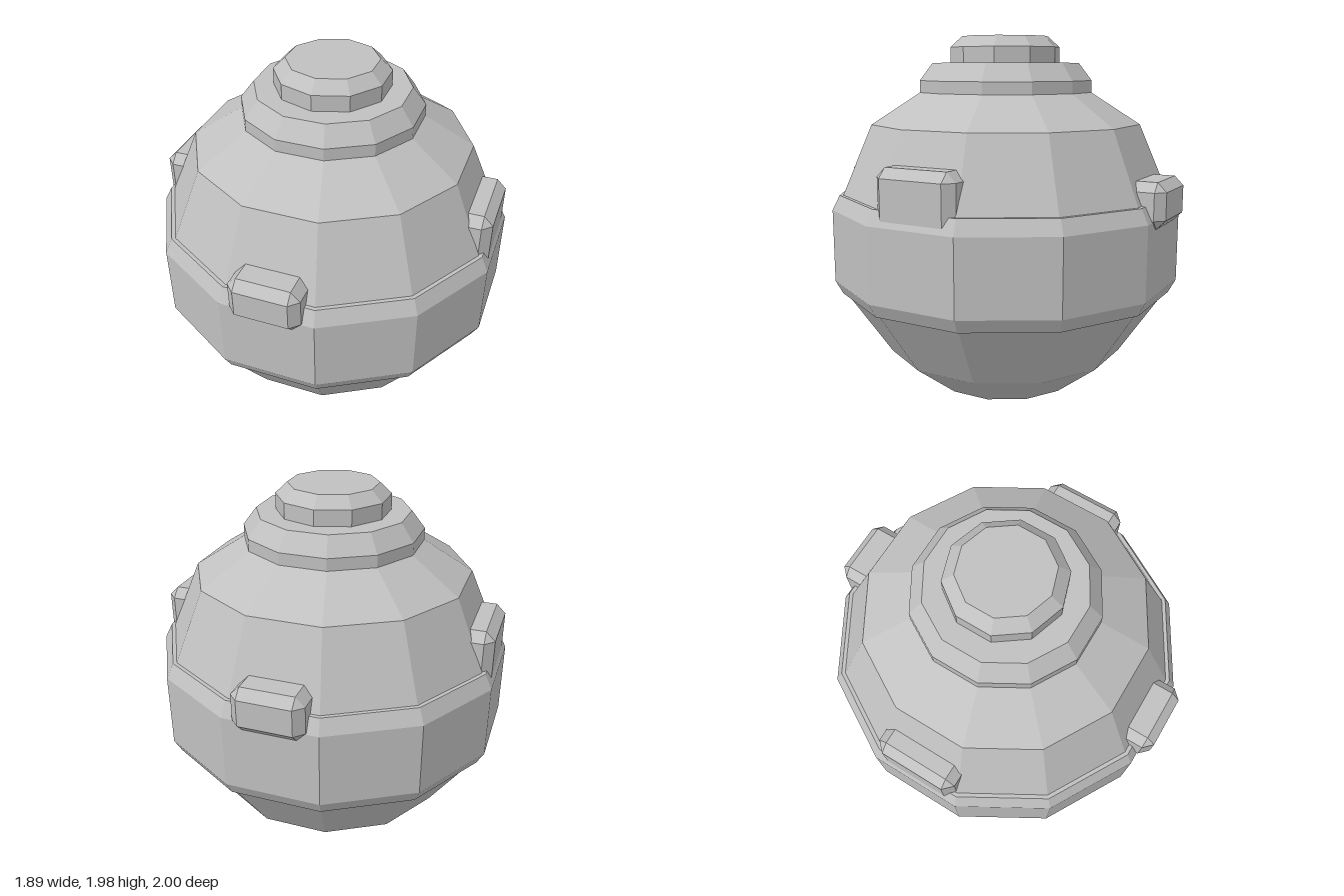
import * as THREE from 'three';
import { ConvexGeometry } from 'three/addons/geometries/ConvexGeometry.js';

export function createModel() {
  const model = new THREE.Group();
  model.name = 'facetedPot';
  const grey = new THREE.MeshStandardMaterial({ color: 0xc0c0c0, flatShading: true });
  grey.name = 'grey';

  const add = (name, geometry) => {
    const mesh = new THREE.Mesh(geometry, grey);
    mesh.name = name;
    model.add(mesh);
    return mesh;
  };

  // Faceted turned part; profile gives [flat-to-centre distance, height], bottom to top
  const turned = (name, profile, sides, start, scale) =>
    add(name, new THREE.LatheGeometry(
      profile.map(([r, y]) => new THREE.Vector2(r * scale, y)), sides, start));
  const twelve = (name, profile) =>
    turned(name, profile, 12, Math.PI / 12, 1 / Math.cos(Math.PI / 12));

  // Box with all edges chamfered by c
  const chamferBox = (w, h, d, c) => {
    const points = [];
    for (const x of [-1, 1]) for (const y of [-1, 1]) for (const z of [-1, 1]) {
      for (let full = 0; full < 3; full++) {
        const inset = [0, 1, 2].map(i => (i === full ? 0 : c));
        points.push(new THREE.Vector3(
          x * (w / 2 - inset[0]), y * (h / 2 - inset[1]), z * (d / 2 - inset[2])));
      }
    }
    return new ConvexGeometry(points);
  };

  // Main body
  twelve('body', [[0, 0], [0.4, 0], [0.65, 0.2], [0.89, 0.565], [0.89, 1.115],
    [0.73, 1.5], [0.47, 1.67], [0, 1.67]]);

  // Wide belt around the middle
  twelve('belt', [[0.84, 0.565], [0.908, 0.565], [0.947, 0.64], [0.947, 1.04],
    [0.908, 1.12], [0.84, 1.12]]);

  // Stepped lid
  twelve('lidRim', [[0, 1.67], [0.47, 1.67], [0.47, 1.735], [0.4, 1.83], [0, 1.83]]);
  turned('lidKnob', [[0, 1.83], [0.307, 1.83], [0.307, 1.915], [0.243, 1.975], [0, 1.975]],
    10, 0, 1);

  // Lugs, mirrored front to back and left to right
  for (const s of [1, -1]) {
    add(s > 0 ? 'frontLug' : 'backLug', chamferBox(0.38, 0.24, 0.24, 0.048))
      .position.set(0, 1.12, s * 0.88);
    add(s > 0 ? 'leftLug' : 'rightLug', chamferBox(0.22, 0.33, 0.46, 0.05))
      .position.set(s * 0.823, 1.165, 0);
  }
  return model;
}
